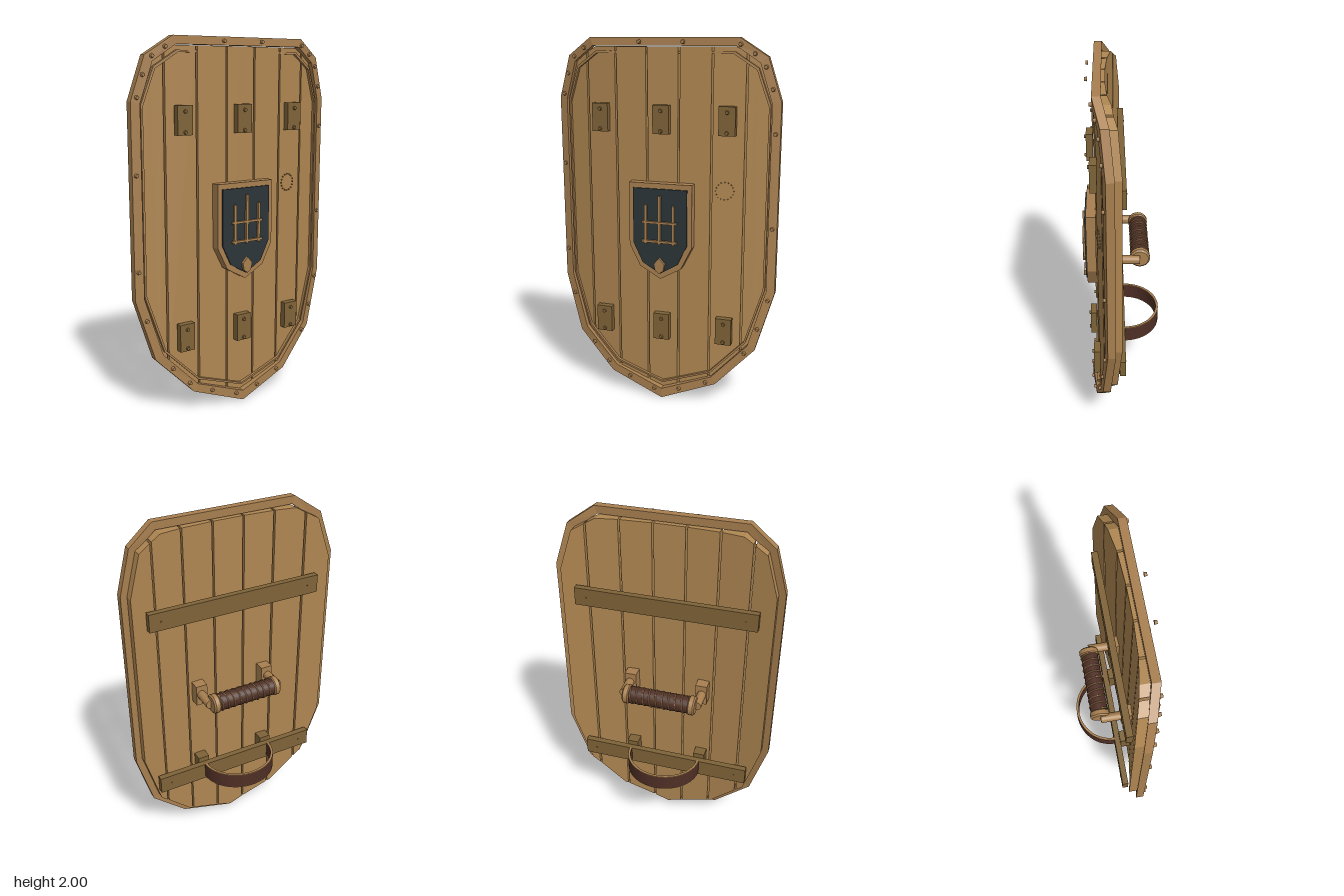
import * as THREE from 'three';
import { toCreasedNormals } from 'three/addons/utils/BufferGeometryUtils.js';

export function createModel() {
  const root = new THREE.Group();
  root.name = 'shield';
  const mat = (name, color) => {
    const m = new THREE.MeshStandardMaterial({ color });
    m.name = name;
    return m;
  };
  const wood = mat('plank wood', 0xb08752);
  const trim = mat('trim wood', 0xa98050);
  const dark = mat('brace wood', 0x7f6338);
  const leather = mat('leather', 0x4f2f25);
  const slate = mat('slate panel', 0x2b3538);

  const add = (name, geo, material, x = 0, y = 0, z = 0) => {
    const m = new THREE.Mesh(geo, material);
    m.name = name;
    m.position.set(x, y, z);
    root.add(m);
    return m;
  };
  const box = (name, material, w, h, d, x, y, z) =>
    add(name, new THREE.BoxGeometry(w, h, d), material, x, y, z);
  const vec = pts => pts.map(p => new THREE.Vector2(p[0], p[1]));
  // Half outline (right side, bottom to top) mirrored to a closed loop
  const mirror = half => [...half, ...half.filter(p => p[0] > 0).reverse().map(p => [-p[0], p[1]])];
  const plate = (pts, depth, hole) => {
    const s = new THREE.Shape(vec(pts));
    if (hole) s.holes.push(new THREE.Path(vec(hole)));
    return new THREE.ExtrudeGeometry(s, { depth, bevelEnabled: false });
  };
  const lerpTable = (table, x) => {
    for (let i = 1; i < table.length; i++) {
      const [x0, v0] = table[i - 1], [x1, v1] = table[i];
      if (x <= x1 || i === table.length - 1) return v0 + (v1 - v0) * (x - x0) / (x1 - x0);
    }
  };
  // Push a flat plate back along the shield's curve
  const bend = (geo, table) => {
    const p = geo.attributes.position;
    for (let i = 0; i < p.count; i++) p.setZ(i, p.getZ(i) + lerpTable(table, Math.abs(p.getX(i))));
    geo.computeVertexNormals();
    return geo;
  };

  // Curves: back of the planks and back of the rim by distance from the middle
  const plankBack = [[0, 0.08], [0.0875, 0.08], [0.2625, 0.07], [0.435, 0.04], [0.575, 0.002]];
  const rimBack = [[0, 0.135], [0.3, 0.107], [0.4, 0.097], [0.51, 0.068], [0.61, 0.037]];
  const front = x => lerpTable(plankBack, Math.abs(x)) + 0.06;

  // Planks, cut to the outline with narrow gaps between them
  const topEdge = [[0, 1.953], [0.38, 1.953], [0.505, 1.885], [0.572, 1.67]];
  const bottomEdge = [[0, 0.05], [0.285, 0.15], [0.48, 0.35], [0.572, 0.67]];
  const seams = [-0.572, -0.435, -0.2625, -0.0875, 0.0875, 0.2625, 0.435, 0.572];
  const knots = [0, 0.285, 0.38, 0.48, 0.505].flatMap(k => [k, -k]);
  for (let i = 0; i < 7; i++) {
    const a = seams[i] + (i > 0 ? 0.005 : 0), b = seams[i + 1] - (i < 6 ? 0.005 : 0);
    const xs = [a, ...[...new Set(knots)].filter(k => k > a && k < b).sort((p, q) => p - q), b];
    const pts = [
      ...xs.map(x => [x, lerpTable(bottomEdge, Math.abs(x))]),
      ...xs.reverse().map(x => [x, lerpTable(topEdge, Math.abs(x))]),
    ];
    add('plank', bend(plate(pts, 0.06), plankBack), wood);
  }

  // Outer rim and the thin bead inside it
  const outer = [[0, 0], [0.305, 0.115], [0.515, 0.33], [0.61, 0.66], [0.61, 1.68], [0.54, 1.905], [0.4, 2]];
  const inner = [[0, 0.055], [0.28, 0.155], [0.475, 0.355], [0.565, 0.67], [0.565, 1.67], [0.502, 1.875], [0.385, 1.957]];
  add('rim', bend(plate(mirror(outer), 0.042, mirror(inner)), rimBack), trim);
  const beadOuter = [[0, 0.085], [0.275, 0.178], [0.462, 0.365], [0.557, 0.675], [0.557, 1.665], [0.493, 1.85], [0.375, 1.93]];
  const beadInner = beadOuter.map(([x, y]) => [x * 0.982, 1 + (y - 1) * 0.988]);
  add('innerBead', bend(plate(mirror(beadOuter), 0.018, mirror(beadInner)),
    plankBack.map(([x, z]) => [x, z + 0.06])), trim);

  // Rivets
  const rivetGeo = new THREE.CylinderGeometry(0.009, 0.012, 0.014, 8).rotateX(Math.PI / 2);
  const rivets = [
    [-0.12, 1.977], [0.115, 1.977], [-0.44, 1.945], [-0.505, 1.9], [-0.55, 1.81], [-0.58, 1.7], [-0.59, 1.315],
    [-0.59, 0.815], [-0.555, 0.55], [-0.425, 0.27], [-0.33, 0.17], [-0.195, 0.1], [-0.045, 0.05],
    [0.405, 1.965], [0.475, 1.92], [0.53, 1.855], [0.565, 1.745], [0.585, 1.52], [0.585, 1.02],
    [0.575, 0.62], [0.525, 0.455], [0.46, 0.31], [0.25, 0.12], [0.1, 0.065],
  ];
  for (const [x, y] of rivets)
    add('rimRivet', rivetGeo, trim, x, y, lerpTable(rimBack, Math.abs(x)) + 0.047);

  // Front plates with two studs each
  for (const y of [1.585, 0.437])
    for (const x of [-0.347, 0, 0.347]) {
      const z = x ? 0.14 : 0.163;
      box('frontPlate', dark, 0.088, 0.15, 0.036, x, y, z);
      for (const dy of [-0.06, 0.045]) add('plateStud', rivetGeo, dark, x, y + dy, z + 0.02);
    }

  // Crest: frame, slate panel, lattice bars and a small drop
  const crest = [[0, 0.72], [0.115, 0.785], [0.175, 0.905], [0.175, 1.25]];
  const panel = [[0, 0.752], [0.098, 0.81], [0.15, 0.918], [0.15, 1.222]];
  add('crestFrame', plate(mirror(crest), 0.052), trim, 0, 0, 0.138);
  add('crestPanel', plate(mirror(panel), 0.008), slate, 0, 0, 0.19);
  for (const [x, top] of [[-0.077, 1.135], [0, 1.185], [0.077, 1.135]])
    box('latticeUpright', trim, 0.014, top - 0.92, 0.015, x, (top + 0.92) / 2, 0.204);
  for (const y of [0.935, 1.04]) box('latticeBar', trim, 0.195, 0.012, 0.013, 0, y, 0.208);
  add('crestDrop', plate(mirror([[0, 0.757], [0.022, 0.772], [0.03, 0.81], [0, 0.845]]), 0.017), trim, 0, 0, 0.197);

  // Ring of tiny studs
  const dotGeo = new THREE.CylinderGeometry(0.004, 0.004, 0.008, 6).rotateX(Math.PI / 2);
  for (let i = 0; i < 16; i++) {
    const a = i / 16 * Math.PI * 2, x = 0.333 + 0.047 * Math.cos(a);
    add('ringStud', dotGeo, dark, x, 1.215 + 0.047 * Math.sin(a), front(x) + 0.002);
  }

  // Back braces
  for (const y of [1.53, 0.48]) {
    box('brace', dark, 0.99, 0.1, 0.034, 0, y, -0.001);
    for (const x of [-0.43, 0.43]) add('braceNail', dotGeo, dark, x, y, -0.019);
  }

  // Hand grip with its mounts
  const along = g => g.rotateZ(Math.PI / 2);
  const smooth = g => toCreasedNormals(g, 0.6);
  add('gripWrap', smooth(along(new THREE.CylinderGeometry(0.048, 0.048, 0.35, 20))), leather, 0, 1.005, -0.098);
  const turns = 9, helix = [];
  for (let i = 0; i <= turns * 16; i++) {
    const a = i / 16 * Math.PI * 2;
    helix.push(new THREE.Vector3(-0.165 + 0.33 * i / (turns * 16), 0.049 * Math.cos(a), 0.049 * Math.sin(a)));
  }
  add('gripCord', new THREE.TubeGeometry(new THREE.CatmullRomCurve3(helix), turns * 16, 0.004, 5), trim, 0, 1.005, -0.098);
  for (const s of [-1, 1]) {
    const cap = vec([[0, -0.02], [0.045, -0.02], [0.054, -0.012], [0.054, 0.012], [0.045, 0.02], [0, 0.02]]);
    add('gripCap', smooth(along(new THREE.LatheGeometry(cap, 20))), trim, s * 0.186, 1.005, -0.098);
    add('gripPost', smooth(new THREE.CylinderGeometry(0.025, 0.025, 0.13, 14).rotateX(Math.PI / 2)), trim, s * 0.21, 1.005, -0.032);
    box('gripMount', trim, 0.066, 0.12, 0.065, s * 0.206, 1, 0.045);
    box('strapBlock', dark, 0.066, 0.13, 0.06, s * 0.206, 0.495, 0.043);
  }

  // Arm strap: a bowed leather band with pale edges
  const arc = (rx, rz) => Array.from({ length: 29 }, (_, i) => {
    const a = i / 28 * Math.PI;
    return [rx * Math.cos(a), rz * Math.sin(a)];
  });
  const bow = [...arc(0.215, 0.2), ...arc(0.201, 0.186).reverse()];
  const band = (name, h, y, m) => add(name, smooth(plate(bow, h).rotateX(-Math.PI / 2)), m, 0, y, -0.018);
  band('armStrap', 0.084, 0.447, leather);
  band('strapEdge', 0.004, 0.443, trim);
  band('strapEdge', 0.004, 0.531, trim);

  return root;
}
